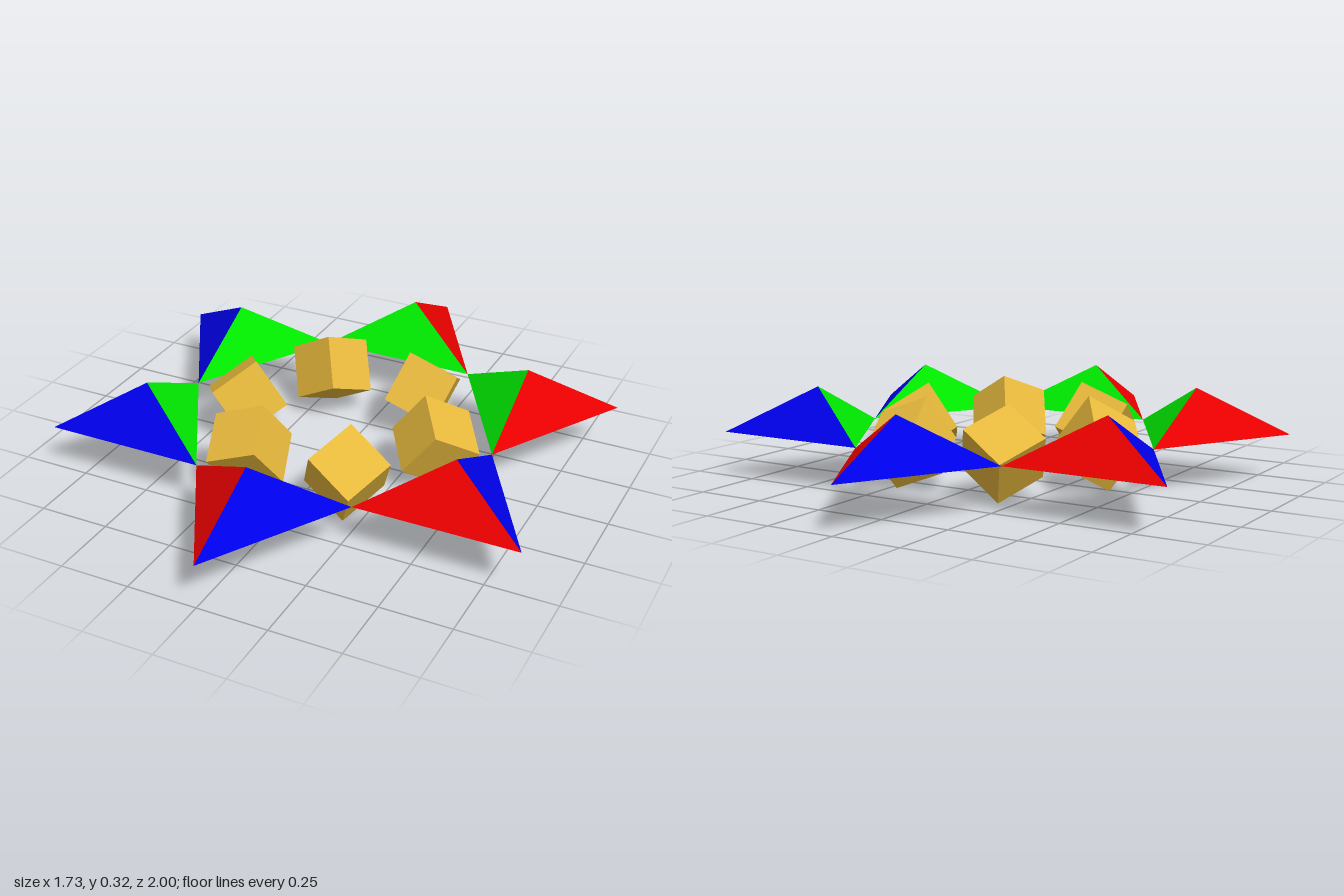
import * as THREE from 'three';

const BASE_Y = 0.163;      // level of the star's flat underside
const POINT_H = 0.165;     // height of each pyramid
const CUBE_SIZE = 0.1925;
const CUBE_RADIUS = 0.37;

function material(name, color) {
  const m = new THREE.MeshStandardMaterial({ color });
  m.name = name;
  return m;
}

// Three-sided pyramid pointing to +z, one material group per face
function starPointGeometry() {
  const tip = [0, 0, 1];
  const right = [0.2887, 0, 0.5];
  const left = [-0.2887, 0, 0.5];
  const apex = [0, POINT_H, 0.6667];
  const faces = [
    [tip, right, apex],
    [left, tip, apex],
    [right, left, apex],
    [tip, left, right],
  ];
  const geo = new THREE.BufferGeometry();
  geo.setAttribute('position', new THREE.Float32BufferAttribute(faces.flat(2), 3));
  faces.forEach((_, i) => geo.addGroup(i * 3, 3, i));
  geo.computeVertexNormals();
  return geo;
}

// Cube tipped up on one corner, set out along -x
function tippedCubeGeometry() {
  const a = new THREE.Vector3(-0.605, 0.795, 0.049).normalize();
  const b = new THREE.Vector3(0.536, 0.35, 0.77);
  b.addScaledVector(a, -a.dot(b)).normalize();
  const c = new THREE.Vector3().crossVectors(a, b);
  const geo = new THREE.BoxGeometry(CUBE_SIZE, CUBE_SIZE, CUBE_SIZE);
  geo.applyMatrix4(new THREE.Matrix4().makeBasis(a, b, c));
  geo.translate(-CUBE_RADIUS, 0, 0);
  return geo;
}

export function createModel() {
  const model = new THREE.Group();
  model.name = 'starWithCubes';

  const faceMaterials = [
    material('blue', 0x0000ff),
    material('red', 0xff0000),
    material('green', 0x00ff00),
    material('black', 0x000000),
  ];
  const gold = material('gold', 0xffcc44);

  const pointGeo = starPointGeometry();
  const cubeGeo = tippedCubeGeometry();

  // Six star points and six cubes, each a sixth of a turn apart
  for (let i = 0; i < 6; i++) {
    const point = new THREE.Mesh(pointGeo, faceMaterials);
    point.name = `starPoint${i + 1}`;
    const cube = new THREE.Mesh(cubeGeo, gold);
    cube.name = `cube${i + 1}`;
    for (const part of [point, cube]) {
      part.position.y = BASE_Y;
      part.rotation.y = (i * Math.PI) / 3;
      model.add(part);
    }
  }
  return model;
}
